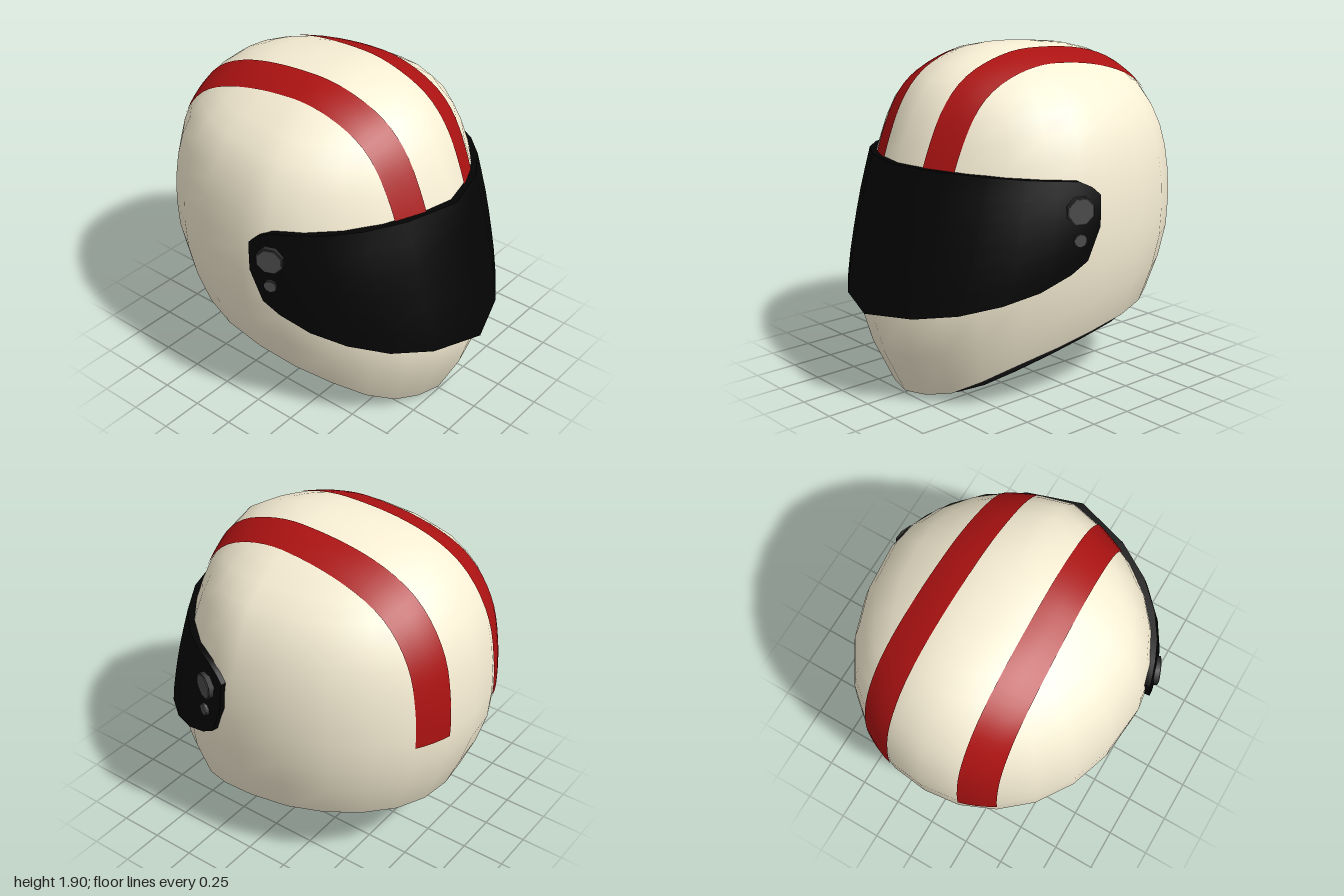
import * as THREE from 'three';
import { mergeVertices, toCreasedNormals } from 'three/addons/utils/BufferGeometryUtils.js';

const TOP = 1.9;
const { lerp, clamp } = THREE.MathUtils;

// Horizontal sections of the shell: height, half width, front reach, back reach
const SECTIONS = [
  [1.9, 0, 0, 0], [1.888, 0.17, 0.19, 0.26], [1.86, 0.28, 0.30, 0.46], [1.77, 0.46, 0.50, 0.69],
  [1.63, 0.655, 0.625, 0.835], [1.42, 0.77, 0.725, 0.945], [1.18, 0.82, 0.805, 0.99],
  [0.97, 0.83, 0.855, 1], [0.8, 0.82, 0.895, 0.985], [0.6, 0.785, 0.943, 0.925], [0.5, 0.757, 0.95, 0.885],
  [0.41, 0.725, 0.925, 0.845], [0.28, 0.685, 0.88, 0.82], [0.14, 0.645, 0.82, 0.8], [0, 0.56, 0.74, 0.78],
].map(([y, ...r]) => [Math.sqrt(TOP - y), ...r]);

// Rim height by cosine of the angle from the front
const RIM = [[-1, 0.41], [-0.7, 0.445], [-0.25, 0.415], [0, 0.38], [0.25, 0.325], [0.5, 0.25],
  [0.7, 0.16], [0.87, 0.06], [1, 0.01]];

// Visor columns from the hinge to the nose: cosine of the angle, top and bottom edge
const VISOR = [[0.115, 1.19, 1.02], [0.19, 1.235, 0.845], [0.29, 1.27, 0.78], [0.45, 1.28, 0.7],
  [0.62, 1.29, 0.64], [0.79, 1.302, 0.588], [0.93, 1.312, 0.55], [1, 1.32, 0.525]];

// Smooth (Hermite) lookup of column k in a table sorted by column 0
function lookup(table, x, k) {
  const n = table.length;
  x = clamp(x, table[0][0], table[n - 1][0]);
  let i = 0;
  while (i < n - 2 && x > table[i + 1][0]) i++;
  const a = table[i], b = table[i + 1], h = b[0] - a[0], t = (x - a[0]) / h;
  const slope = (j) => {
    const p = table[Math.max(j - 1, 0)], q = table[Math.min(j + 1, n - 1)];
    return (q[k] - p[k]) / (q[0] - p[0]);
  };
  const t2 = t * t, t3 = t2 * t;
  return (2 * t3 - 3 * t2 + 1) * a[k] + (t3 - 2 * t2 + t) * h * slope(i)
    + (3 * t2 - 2 * t3) * b[k] + (t3 - t2) * h * slope(i + 1);
}

const reach = (y, k) => lookup(SECTIONS, Math.sqrt(Math.max(TOP - y, 0)), k);
const rimHeight = (a) => lookup(RIM, Math.cos(a), 1);

// Depth of a section at s = |x| / half width: a ridged nose in front, a full round back
function depth(y, s, front) {
  const n = front ? lerp(2, 1.8, clamp((y - 0.6) / 0.6, 0, 1)) : 2.15;
  const c = Math.max(1 - s ** n, 0) ** (1 / n);
  return front ? reach(y, 2) * (0.97 * c + 0.03 * Math.max(0, 1 - s / 0.33)) : reach(y, 3) * c;
}

// Point on the shell at angle a from the front and height y, pushed out sideways
function shellPoint(a, y, out = 0) {
  const sin = Math.sin(a), front = Math.cos(a) > 0;
  const x = sin * reach(y, 1);
  const z = depth(y, Math.min(Math.abs(sin), 1), front) * (front ? 1 : -1);
  const s = 1 + out / Math.max(Math.hypot(x, z), 0.1);
  return [x * s, y, z * s];
}

function insideShell(x, y, z) {
  const s = Math.abs(x) / Math.max(reach(y, 1), 1e-6);
  return y < TOP && s < 1 && Math.abs(z) < depth(y, s, z > 0);
}

// Surface from a rule f(u, v) sampled at nu by nv cells
function grid(nu, nv, f, flip = false) {
  const pos = [], index = [], w = nu + 1;
  for (let j = 0; j <= nv; j++) for (let i = 0; i <= nu; i++) pos.push(...f(i / nu, j / nv, i, j));
  for (let j = 0; j < nv; j++) for (let i = 0; i < nu; i++) {
    const a = j * w + i, b = a + w, c = a + 1, d = b + 1;
    index.push(...(flip ? [a, c, b, c, d, b] : [a, b, c, c, b, d]));
  }
  let g = new THREE.BufferGeometry();
  g.setAttribute('position', new THREE.Float32BufferAttribute(pos, 3));
  g.setIndex(index);
  g = mergeVertices(g, 1e-4);
  g.computeVertexNormals();
  return g;
}

export function createModel() {
  const model = new THREE.Group();
  const paint = (color) => new THREE.MeshStandardMaterial({ color });
  const cream = paint(0xf8efd5), red = paint(0xac1212), black = paint(0x040404);
  const rubber = paint(0x121214), grey = paint(0x4c4c4c), darkGrey = paint(0x2c2c2c);
  const add = (name, geometry, material, parent = model) => {
    const mesh = new THREE.Mesh(geometry, material);
    mesh.name = name;
    parent.add(mesh);
  };
  const turn = Math.PI * 2, sides = 24;

  // Outer shell, rolled inward at the rim
  const rows = 14;
  add('shell', grid(sides, rows + 2, (u, v, i, j) => {
    const a = u * turn, rim = rimHeight(a);
    const t = Math.min(j / rows, 1), roll = Math.max(j - rows, 0);
    return shellPoint(a, TOP - t * t * (TOP - rim), [0, -0.025, -0.08][roll]);
  }), cream);

  // Dark inner lining
  add('lining', grid(sides, 12, (u, v) => {
    const a = u * turn, rim = rimHeight(a);
    const [x, y, z] = shellPoint(a, TOP - v * v * (TOP - rim));
    return [x * 0.87, rim + (y - rim) * 0.95, z * 0.87];
  }, true), black);

  // Rubber trim around the opening: inward and downward steps from the rim
  const trim = [[-0.05, 0.2], [-0.052, -0.6], [-0.064, -1], [-0.09, -1], [-0.108, -0.5], [-0.108, 0.6]];
  add('rimTrim', grid(sides, trim.length - 1, (u, v, i, j) => {
    const a = u * turn, rim = rimHeight(a);
    const [x, y, z] = shellPoint(a, rim, trim[j][0]);
    return [x, Math.max(y + trim[j][1] * 0.055 * clamp(rim / 0.2, 0.15, 1), 0), z];
  }), rubber);

  // Visor: a raised band whose borders fold back into the shell
  const last = VISOR.length - 1, cols = 2 * last + 2, bands = 8;
  const visor = grid(cols, bands, (u, v, i, j) => {
    const k = clamp(i - 1, 0, 2 * last) - last;
    const [c, top, bottom] = VISOR[last - Math.abs(k)];
    const t = clamp((j - 1) / (bands - 2), 0, 1);
    const border = i === 0 || j === 0 || i === cols || j === bands;
    const out = border ? -0.02 : 0.022 + c * (0.02 + 0.012 * t);
    return shellPoint(Math.sign(k) * Math.acos(c), lerp(top, bottom, t), out);
  });
  add('visor', toCreasedNormals(visor, 0.7), black);

  for (const side of [1, -1]) {
    const prefix = side > 0 ? 'left' : 'right';

    // Racing stripe laid over the shell from the back to under the visor
    add(prefix + 'Stripe', grid(4, 40, (u, v) => {
      const phi = lerp(Math.PI, 0.4, v), dz = Math.cos(phi), dy = Math.sin(phi);
      const f = (dz + 1) / 2, w = side > 0 ? u : 1 - u;
      const x = side * lerp(lerp(0.22, 0.17, f), lerp(0.42, 0.34, f), w);
      let lo = 0, hi = 1.4;
      for (let k = 0; k < 24; k++) {
        const r = (lo + hi) / 2;
        if (insideShell(x, 0.95 + dy * r, dz * r)) lo = r; else hi = r;
      }
      const r = lo + 0.004;
      return [x, 0.95 + dy * r, dz * r];
    }), red);

    // Visor pivot: a large knob above a small screw, both turned a little forward
    const pivot = new THREE.Group();
    pivot.name = prefix + 'Pivot';
    model.add(pivot);
    const normal = new THREE.Vector3(side * Math.cos(0.4), 0, Math.sin(0.4));
    for (const [name, y, z, radius, facets] of [['knob', 1.12, 0.2, 0.08, 8], ['screw', 0.965, 0.205, 0.038, 10]]) {
      const p = shellPoint(Math.acos(z / reach(y, 2)), y, 0.018);
      const part = new THREE.Group();
      part.name = name;
      part.position.set(side * p[0], y, z);
      part.quaternion.setFromUnitVectors(new THREE.Vector3(0, 1, 0), normal);
      pivot.add(part);
      add(name + 'Base', new THREE.CylinderGeometry(radius, radius, 0.03, facets), darkGrey, part);
      add(name + 'Cap', new THREE.CylinderGeometry(radius * 0.88, radius * 0.94, 0.038, facets), grey, part);
    }
  }
  return model;
}
